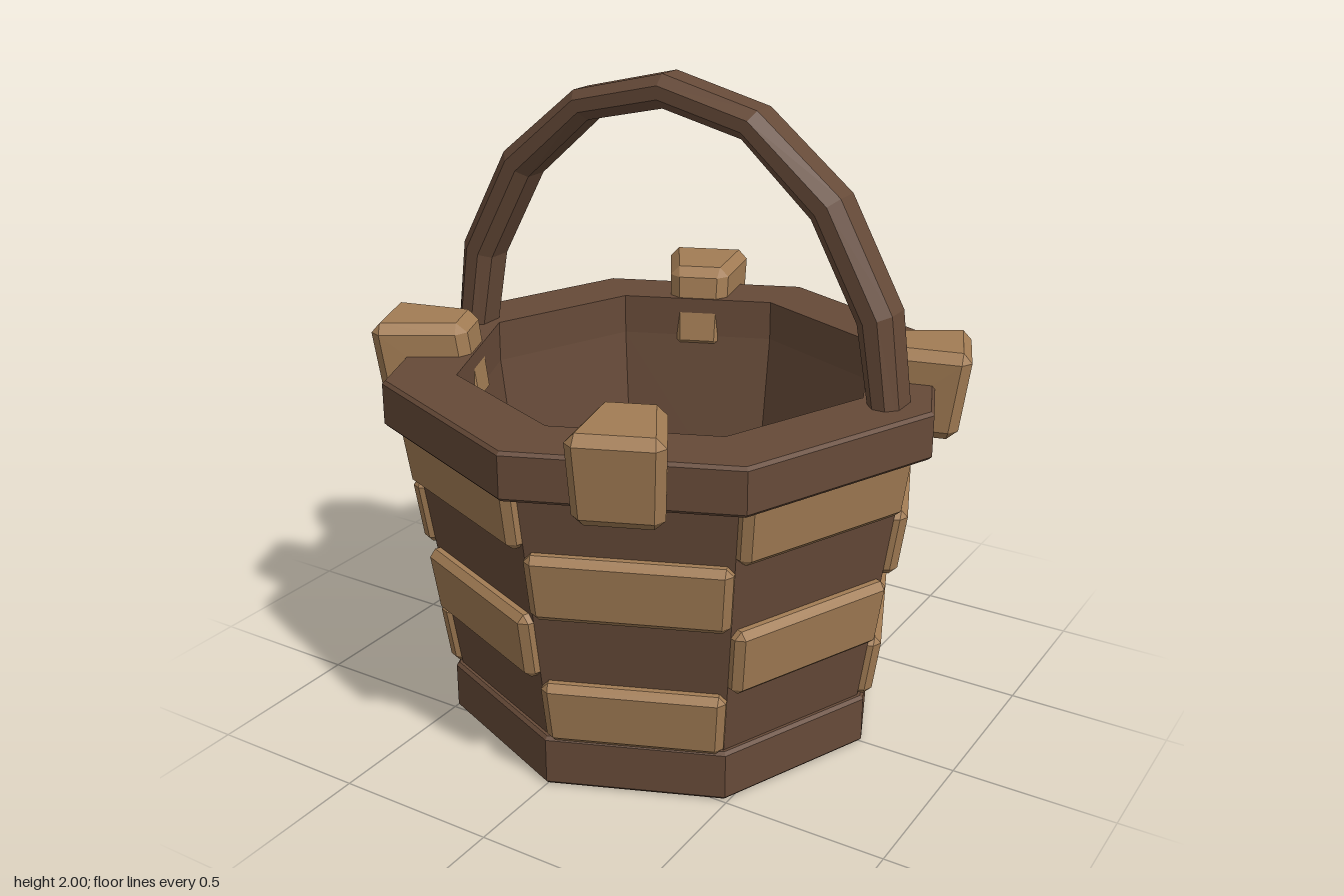
import * as THREE from 'three';
import { ConvexGeometry } from 'three/addons/geometries/ConvexGeometry.js';

const SIDES = 8;
const HALF = Math.PI / SIDES;

// Eight-sided faceted shell from a profile of [radius, y]
function octagon(profile) {
  const lathe = new THREE.LatheGeometry(profile.map(([r, y]) => new THREE.Vector2(r, y)), SIDES);
  const geo = lathe.toNonIndexed();
  geo.computeVertexNormals();
  return geo;
}

// Chamfered block: width hw, height y0..y1, depth z0..z1, then reshaped by a rule
function block(hw, y0, y1, z0, z1, b, reshape) {
  const pts = [];
  for (const sx of [-1, 1]) for (const sy of [-1, 1]) for (const sz of [-1, 1]) {
    for (const flush of [0, 1, 2]) {
      const inset = (axis) => (axis === flush ? 0 : b);
      const x = sx * (hw - inset(0));
      const y = sy > 0 ? y1 - inset(1) : y0 + inset(1);
      const z = sz > 0 ? z1 - inset(2) : z0 + inset(2);
      pts.push(reshape(x, y, z));
    }
  }
  return new ConvexGeometry(pts);
}

// Wall corner radius at a height
const wallRadius = (y) => 0.675 + 0.146 * (y - 0.16);

// Handle: chamfered section swept through [outerX, outerY, innerX, innerY]
function handleGeometry() {
  const half = [
    [0.79, 1.05, 0.695, 1.05], [0.745, 1.4, 0.638, 1.36],
    [0.575, 1.71, 0.485, 1.64], [0.31, 1.925, 0.26, 1.84],
  ];
  const stations = [
    ...half.map(([a, b, c, d]) => [-a, b, -c, d]),
    [0, 2, 0, 1.9],
    ...half.slice().reverse(),
  ];
  const section = [
    [1, -0.04], [1, 0.04], [0.7, 0.072], [0.3, 0.072],
    [0, 0.04], [0, -0.04], [0.3, -0.072], [0.7, -0.072],
  ];
  const n = section.length;
  const pos = [];
  const index = [];
  stations.forEach(([ox, oy, ix, iy], i) => {
    section.forEach(([s, z], j) => {
      pos.push(ix + (ox - ix) * s, iy + (oy - iy) * s, z);
      if (i === stations.length - 1) return;
      const a = i * n + j;
      const b = i * n + (j + 1) % n;
      index.push(a, b, a + n, b, b + n, a + n);
    });
  });
  const indexed = new THREE.BufferGeometry();
  indexed.setAttribute('position', new THREE.Float32BufferAttribute(pos, 3));
  indexed.setIndex(index);
  const geo = indexed.toNonIndexed();
  geo.computeVertexNormals();
  return geo;
}

export function createModel() {
  const model = new THREE.Group();
  model.name = 'basket';

  const darkWood = new THREE.MeshStandardMaterial({ color: 0x664a38 });
  darkWood.name = 'dark wood';
  const lightWood = new THREE.MeshStandardMaterial({ color: 0xa27c54 });
  lightWood.name = 'light wood';

  const add = (name, geo, mat, angle = 0) => {
    const mesh = new THREE.Mesh(geo, mat);
    mesh.name = name;
    mesh.rotation.y = angle;
    model.add(mesh);
  };

  // Hollow body with base band and recessed underside
  add('body', octagon([
    [0, 0.04], [0.51, 0.04], [0.51, 0], [0.685, 0], [0.695, 0.01], [0.695, 0.15],
    [0.685, 0.16], [0.675, 0.16], [wallRadius(1), 1], [0.65, 1], [0.56, 0.3], [0, 0.3],
  ]), darkWood);

  // Wide rim
  add('rim', octagon([
    [0.65, 0.985], [0.86, 0.985], [0.87, 0.995], [0.87, 1.12],
    [0.86, 1.13], [0.65, 1.13], [0.65, 0.985],
  ]), darkWood);

  add('handle', handleGeometry(), darkWood);

  // Raised weave panels in a checkerboard, leaning with the wall
  const rows = [[0.155, 0.36], [0.365, 0.58], [0.582, 0.795], [0.8, 1.01]];
  rows.forEach(([y0, y1], row) => {
    const geo = block(1, y0, y1, -0.05, 0.04, 0.022, (x, y, z) => {
      const r = wallRadius(y);
      const hw = r * Math.sin(HALF);
      // keep the chamfer the same width across the panel
      const across = Math.sign(x) * (hw - (1 - Math.abs(x)));
      return new THREE.Vector3(across, y, r * Math.cos(HALF) + z);
    });
    for (let k = row % 2; k < SIDES; k += 2) {
      add('weavePanel', geo, lightWood, (2 * k + 1) * HALF);
    }
  });

  // Wedge blocks straddling the rim on every other side
  const wedge = block(1, 0.955, 1.23, 0.62, 0.91, 0.03, (x, y, z) => {
    const hw = (0.095 + (z - 0.62) * 0.16) * (1 + 0.3 * (y - 1.23));
    const across = Math.sign(x) * (hw - (1 - Math.abs(x)));
    return new THREE.Vector3(across, y, z + 0.13 * (y - 1.23));
  });
  for (let k = 0; k < SIDES; k += 2) add('rimBlock', wedge, lightWood, (2 * k + 1) * HALF);

  return model;
}
